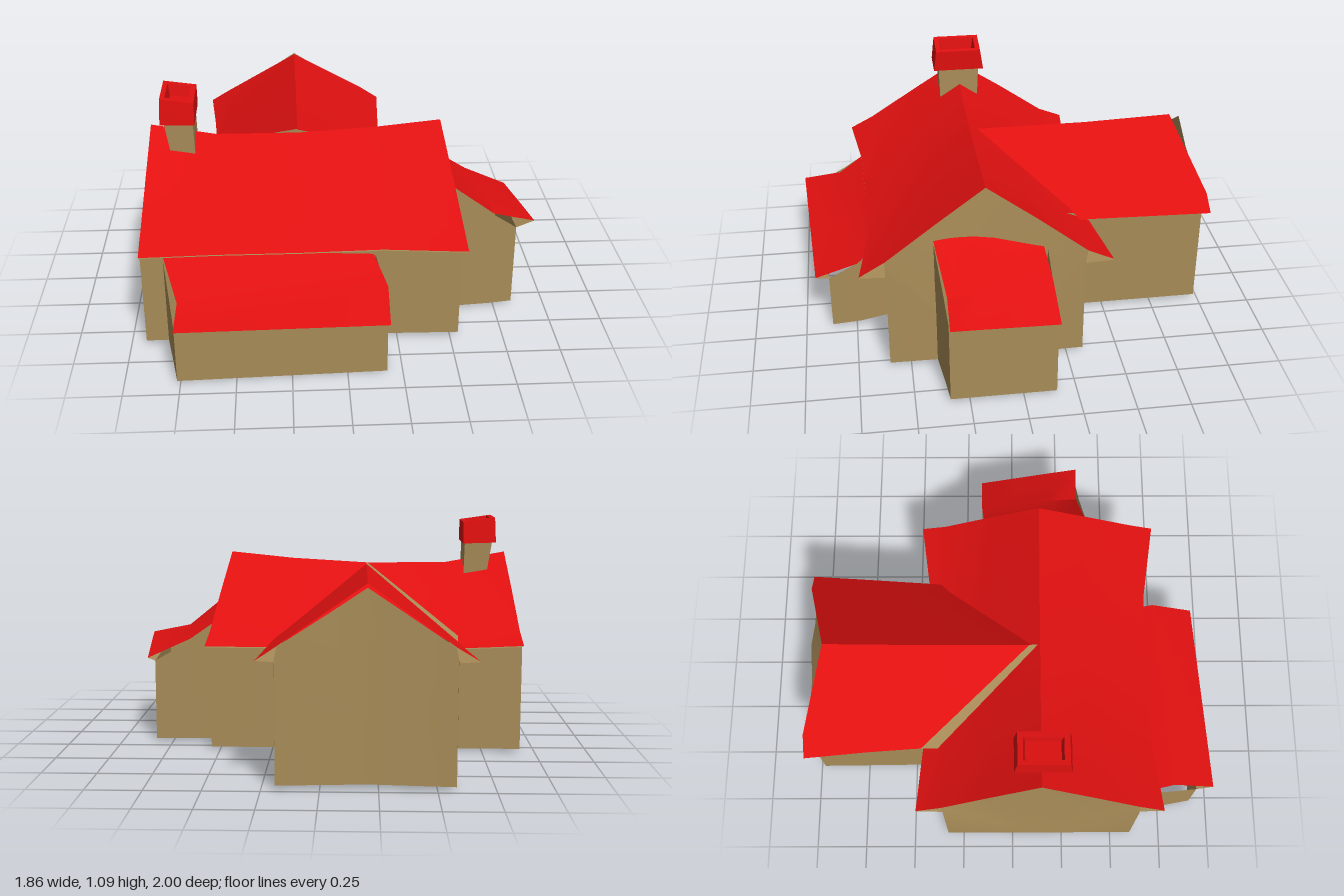
import * as THREE from 'three';
import { toCreasedNormals } from 'three/addons/utils/BufferGeometryUtils.js';

const red = new THREE.MeshStandardMaterial({ color: 0xe01010, side: THREE.DoubleSide });
const tan = new THREE.MeshStandardMaterial({ color: 0xa88c58, side: THREE.DoubleSide });

// Surface through rows of points, each row having the same number of points
function sheet(name, rows, material) {
  const n = rows[0].length, index = [];
  for (let i = 0; i < rows.length - 1; i++) {
    for (let j = 0; j < n - 1; j++) {
      const a = i * n + j, b = a + n;
      index.push(a, b, a + 1, b, b + 1, a + 1);
    }
  }
  return build(name, rows.flat(2), index, material);
}

// Flat panel, fanned from its first point
function panel(name, points, material) {
  const index = [];
  for (let i = 1; i < points.length - 1; i++) index.push(0, i, i + 1);
  return build(name, points.flat(), index, material);
}

function build(name, positions, index, material) {
  const g = new THREE.BufferGeometry();
  g.setAttribute('position', new THREE.Float32BufferAttribute(positions, 3));
  g.setIndex(index);
  const mesh = new THREE.Mesh(toCreasedNormals(g, 0.45), material);
  mesh.name = name;
  return mesh;
}

// Wall strip that follows a plan outline; each entry is [x, z, top, base]
function walls(name, outline) {
  return sheet(name, [
    outline.map(([x, z, , base = 0.01]) => [x, base, z]),
    outline.map(([x, z, top]) => [x, top, z]),
  ], tan);
}

function group(name, ...parts) {
  const g = new THREE.Group();
  g.name = name;
  g.add(...parts);
  return g;
}

// Main block with a sagging ridge and flared eaves
function mainHouse() {
  // ridge x, eave x, ridge y, eave y, front eave z, back eave z
  const stations = [
    [-0.89, -0.92, 0.915, 0.535, 0.72, -0.46],
    [-0.59, -0.59, 0.86, 0.515, 0.675, -0.43],
    [-0.2, -0.2, 0.858, 0.51, 0.667, -0.42],
    [0.17, 0.17, 0.88, 0.515, 0.665, -0.41],
    [0.48, 0.55, 0.912, 0.525, 0.72, -0.46],
  ];
  const roof = stations.map(([rx, ex, ry, ey, zf, zb]) => {
    const kx = ex * 0.85 + rx * 0.15;
    return [
      [ex, ey, zf], [kx, ey + 0.065, zf - 0.12], [(rx + kx) / 2, (ry + ey + 0.07) / 2, (zf + 0.01) / 2],
      [rx, ry, 0.13],
      [(rx + kx) / 2, (ry + ey + 0.06) / 2, (zb + 0.25) / 2], [kx, ey + 0.05, zb + 0.12], [ex, ey, zb],
    ];
  });
  const soffit = (name, zi, wallZ) =>
    sheet(name, stations.map((s) => [[s[1], s[3] - 0.005, s[zi]], [s[1], 0.515, wallZ]]), tan);
  const gable = (name, x, row) => panel(name, [
    [x, 0.01, 0.13], [x, 0.015, 0.6], [x, 0.52, 0.6], ...row.slice(1, 6), [x, 0.52, -0.33], [x, 0.015, -0.33],
  ], tan);
  return group('mainHouse',
    sheet('mainRoof', roof, red),
    soffit('frontSoffit', 4, 0.6), soffit('backSoffit', 5, -0.33),
    walls('frontWall', [[-0.93, 0.6, 0.53, 0.015], [-0.2, 0.58, 0.53], [0.54, 0.6, 0.53, 0.015]]),
    walls('backWall', [[-0.93, -0.33, 0.53, 0.015], [-0.2, -0.31, 0.53], [0.54, -0.33, 0.53, 0.015]]),
    gable('rightGable', -0.93, roof[0]), gable('leftGable', 0.54, roof[4]));
}

// Wing running back from the main ridge
function backWing() {
  const roof = [
    [[-0.67, 0.56, -1], [-0.57, 0.62, -1], [-0.2, 0.872, -0.89], [0.18, 0.62, -1], [0.27, 0.56, -1]],
    [[-0.64, 0.555, -0.7], [-0.56, 0.61, -0.7], [-0.2, 0.856, -0.45], [0.17, 0.61, -0.67], [0.25, 0.555, -0.67]],
    [[-0.62, 0.55, -0.44], [-0.55, 0.6, -0.35], [-0.2, 0.855, 0.09], [0.17, 0.59, -0.31], [0.23, 0.55, -0.36]],
  ];
  const soffit = (name, j, x) =>
    sheet(name, roof.map((r) => [r[j], [x, 0.55, Math.max(r[j][2], -0.975)]]), tan);
  return group('backWing',
    sheet('wingRoof', roof, red),
    soffit('wingSoffitRight', 0, -0.57), soffit('wingSoffitLeft', 4, 0.18),
    walls('wingWallRight', [[-0.58, -0.98, 0.56, 0.02], [-0.57, -0.3, 0.56]]),
    walls('wingWallLeft', [[0.19, -0.98, 0.56, 0.02], [0.18, -0.3, 0.56]]),
    panel('wingGable', [[-0.2, 0.02, -0.95], [-0.58, 0.02, -0.98], [-0.58, 0.56, -0.975], [-0.57, 0.615, -0.975],
      [-0.35, 0.76, -0.945], [-0.2, 0.86, -0.94], [-0.05, 0.76, -0.945],
      [0.18, 0.615, -0.975], [0.19, 0.56, -0.975], [0.19, 0.02, -0.98]], tan),
    // Narrow strip closing the joint between the two roofs
    panel('valleyStrip', [[-0.2, 0.862, 0.12], [-0.2, 0.855, 0.08], [-0.62, 0.55, -0.44], [-0.625, 0.565, -0.36]], tan));
}

// Low lean-to; roof rows run from the house wall to the eave
function leanTo(name, roof, outline, inner) {
  const eave = roof[roof.length - 1];
  return group(name,
    sheet(name + 'Roof', roof, red),
    sheet(name + 'Soffit', [eave, inner], tan),
    walls(name + 'Walls', outline));
}

// Chimney shaft and hollow cap made of four-sided rings
function chimney() {
  // xRight, xLeft, zBack, zFront, y at right, y at left
  const ring = ([x0, x1, z0, z1, y0, y1]) =>
    [[x0, y0, z0], [x0, y0, z1], [x1, y1, z1], [x1, y1, z0], [x0, y0, z0]];
  const shaft = [[-0.79, -0.68, 0.04, 0.235, 0.78, 0.78], [-0.82, -0.685, 0.03, 0.24, 0.98, 0.975]];
  const cap = [
    [-0.81, -0.69, 0.04, 0.23, 0.97, 0.965],
    [-0.835, -0.675, 0.005, 0.265, 0.97, 0.965],
    [-0.83, -0.675, 0.02, 0.252, 1.092, 1.07],
    [-0.808, -0.7, 0.045, 0.225, 1.09, 1.073],
    [-0.8, -0.705, 0.055, 0.215, 1.03, 1.02],
  ];
  return group('chimney',
    sheet('chimneyShaft', shaft.map(ring), tan),
    sheet('chimneyCap', cap.map(ring), red),
    panel('chimneyFloor', ring(cap[4]).slice(0, 4), red));
}

export function createModel() {
  const model = new THREE.Group();
  model.name = 'house';
  model.add(
    mainHouse(), backWing(), chimney(),
    leanTo('frontLeanTo', [
      [[-0.83, 0.47, 0.58], [0.13, 0.455, 0.58]],
      [[-0.755, 0.345, 0.8], [0.19, 0.36, 0.73]],
      [[-0.76, 0.32, 0.995], [0.185, 0.29, 0.935]],
    ], [
      [-0.83, 0.58, 0.46, 0.015], [-0.79, 0.78, 0.35], [-0.765, 0.915, 0.29],
      [0.18, 0.87, 0.28, 0], [0.18, 0.73, 0.355], [0.14, 0.58, 0.45],
    ], [[-0.765, 0.29, 0.915], [0.18, 0.28, 0.87]]),
    leanTo('sideLeanTo', [
      [[0.52, 0.675, 0.375], [0.5, 0.68, 0.24], [0.5, 0.62, -0.13]],
      [[0.73, 0.505, 0.335], [0.72, 0.507, 0.2], [0.66, 0.51, -0.155]],
      [[0.925, 0.465, 0.34], [0.91, 0.452, 0.2], [0.87, 0.415, -0.16]],
    ], [
      [0.53, 0.375, 0.665, 0.015], [0.73, 0.35, 0.505], [0.84, 0.34, 0.43, 0.015],
      [0.835, -0.155, 0.4], [0.66, -0.155, 0.5], [0.53, -0.15, 0.6],
    ], [[0.84, 0.43, 0.34], [0.84, 0.42, 0.2], [0.835, 0.4, -0.155]]));
  return model;
}
